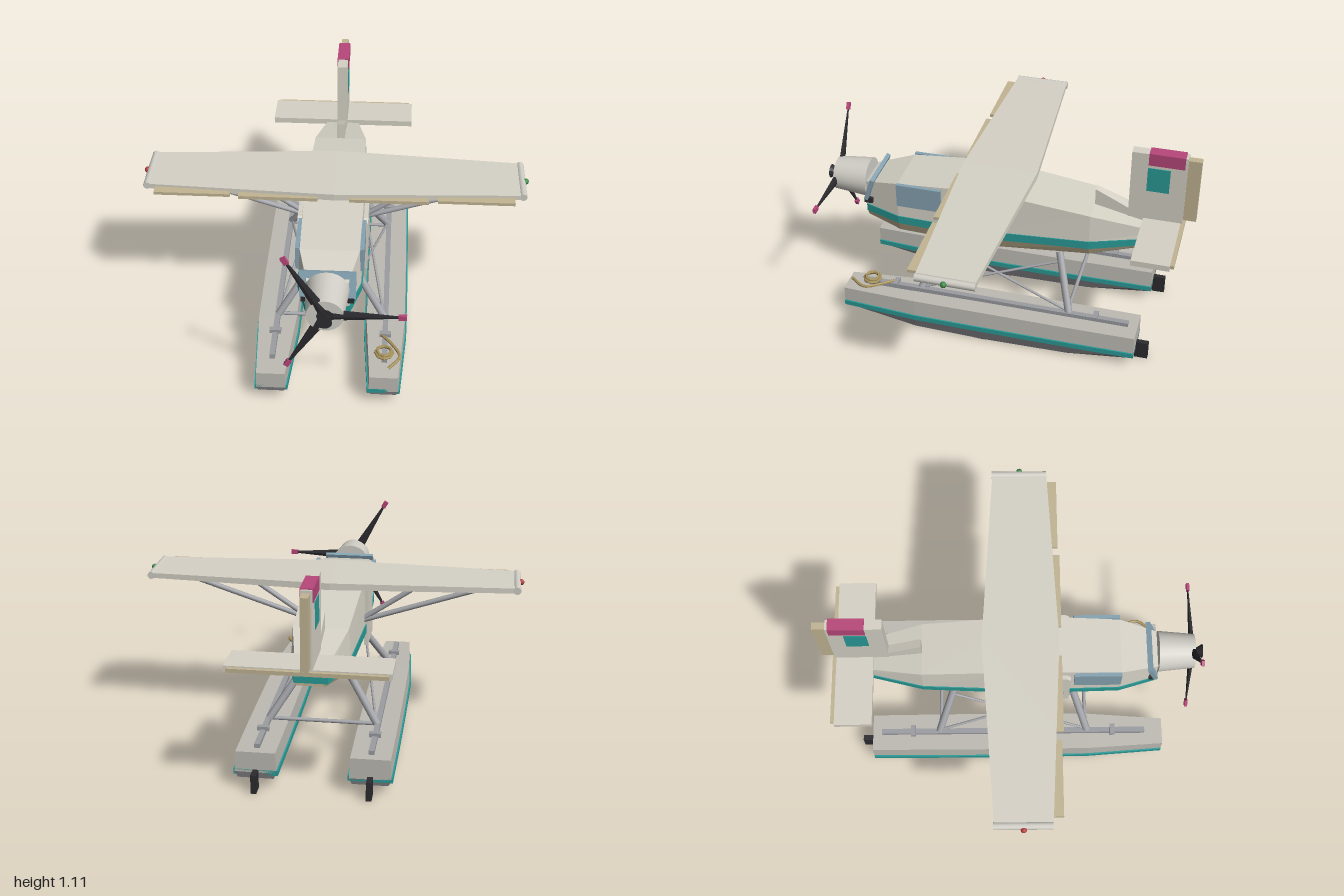
import * as THREE from 'three';

const mat = (color, flat = true) => new THREE.MeshStandardMaterial({ color, flatShading: flat });
const paint = {
  body: mat(0xd6d2c6), tan: mat(0xc2b594), teal: mat(0x2a9c98), glass: mat(0x86a3b2),
  metal: mat(0xa4a5aa, false), rail: mat(0x9c9da2), dark: mat(0x2c2c30), red: mat(0xb8487a),
  navRed: mat(0xb84040, false), navGreen: mat(0x3f8a48, false), rope: mat(0xa8935c), cowl: mat(0xd0cec6, false),
  hull: mat(0xbdbbb3), keel: mat(0x77777a),
};

export function createModel() {
  const root = new THREE.Group();
  const add = (name, geo, material, parent = root) => {
    const m = new THREE.Mesh(geo, material);
    m.name = name;
    parent.add(m);
    return m;
  };
  // Box given by its x, y and z ranges
  const box = (name, x, y, z, material, parent) => {
    const m = add(name, new THREE.BoxGeometry(Math.abs(x[1] - x[0]), y[1] - y[0], z[1] - z[0]), material, parent);
    m.position.set((x[0] + x[1]) / 2, (y[0] + y[1]) / 2, (z[0] + z[1]) / 2);
    return m;
  };
  // Round bar between two points
  const bar = (name, a, b, r, material = paint.metal, parent = root) => {
    const p = new THREE.Vector3(...a), q = new THREE.Vector3(...b), d = q.clone().sub(p);
    const m = add(name, new THREE.CylinderGeometry(r, r, d.length(), 10), material, parent);
    m.position.copy(p).add(q).multiplyScalar(0.5);
    m.quaternion.setFromUnitVectors(new THREE.Vector3(0, 1, 0), d.normalize());
    return m;
  };
  // Skin over symmetric stations, front to back: { z, side: [[halfWidth, y] from bottom to top] }
  const loft = (stations) => {
    const pos = [];
    const rings = stations.map(({ z, side }) => [
      ...side.map(([w, y]) => [w, y, z]),
      ...side.slice().reverse().map(([w, y]) => [-w, y, z])]);
    const tri = (...p) => p.forEach((v) => pos.push(...v));
    const n = rings[0].length, last = rings[rings.length - 1];
    for (let i = 0; i < rings.length - 1; i++) {
      for (let j = 0; j < n; j++) {
        const k = (j + 1) % n, a = rings[i][j], b = rings[i][k], c = rings[i + 1][k], d = rings[i + 1][j];
        tri(a, d, c);
        tri(a, c, b);
      }
    }
    for (let j = 1; j < n - 1; j++) {
      tri(rings[0][0], rings[0][j], rings[0][j + 1]);
      tri(last[0], last[j + 1], last[j]);
    }
    const g = new THREE.BufferGeometry();
    g.setAttribute('position', new THREE.Float32BufferAttribute(pos, 3));
    g.computeVertexNormals();
    return g;
  };

  // Fuselage stations: z, half width, bottom, stripe low, stripe high, top
  const hullLines = [
    [0.76, 0.105, 0.51, 0.545, 0.587, 0.725],
    [0.565, 0.157, 0.47, 0.53, 0.575, 0.775],
    [0.08, 0.166, 0.46, 0.523, 0.572, 0.815],
    [-0.475, 0.15, 0.505, 0.553, 0.597, 0.75],
    [-0.82, 0.078, 0.585, 0.598, 0.635, 0.672],
  ];
  add('fuselageUpper', loft(hullLines.map(([z, w, , , s, t]) => ({ z, side: [[w, s], [w * 0.94, t]] }))), paint.body);
  add('fuselageStripe', loft(hullLines.map(([z, w, , l, h]) => ({ z, side: [[w + 0.005, l], [w + 0.005, h]] }))), paint.teal);
  add('fuselageBelly', loft(hullLines.map(([z, w, b, l]) => ({ z, side: [[w * 0.86, b], [w, l]] }))), paint.tan);

  // Nose: windscreen, engine cowling, propeller
  box('windscreenFrame', [-0.13, 0.13], [0.61, 0.64], [0.72, 0.765], paint.dark);
  const screen = box('windscreen', [-0.138, 0.138], [0.63, 0.765], [0.722, 0.744], paint.glass);
  screen.rotation.x = -0.32;
  const cowl = add('cowling', new THREE.CylinderGeometry(0.09, 0.108, 0.19, 24), paint.cowl);
  cowl.rotation.x = Math.PI / 2;
  cowl.position.set(0, 0.69, 0.86);
  const prop = new THREE.Group();
  prop.name = 'propeller';
  prop.position.set(0, 0.69, 0.945);
  root.add(prop);
  const hub = add('propellerHub', new THREE.CylinderGeometry(0.038, 0.012, 0.04, 12), paint.dark, prop);
  hub.rotation.x = Math.PI / 2;
  hub.position.z = 0.035;
  const boss = add('propellerBoss', new THREE.CylinderGeometry(0.04, 0.04, 0.03, 12), paint.dark, prop);
  boss.rotation.x = Math.PI / 2;
  for (let i = 0; i < 3; i++) {
    const arm = new THREE.Group();
    arm.name = 'propellerArm';
    arm.rotation.z = i * Math.PI * 2 / 3 - Math.PI / 2;
    prop.add(arm);
    const blade = add('propellerBlade', new THREE.CylinderGeometry(0.007, 0.034, 0.34, 6), paint.dark, arm);
    blade.scale.z = 0.5;
    blade.position.y = 0.18;
    box('bladeTip', [-0.013, 0.013], [0.345, 0.385], [-0.008, 0.008], paint.red, arm);
  }

  // Main wing, tapered towards the tips
  const wing = new THREE.BoxGeometry(1.9, 0.036, 0.4, 4, 1, 1);
  const p = wing.attributes.position;
  for (let i = 0; i < p.count; i++) {
    const t = Math.abs(p.getX(i)) / 0.95;
    p.setZ(i, p.getZ(i) * (1 - 0.27 * t) + 0.04 + 0.005 * t);
    p.setY(i, p.getY(i) * (1 - 0.25 * t));
  }
  add('wing', wing, paint.body).position.y = 0.857;

  // Float stations: z, half width, bottom, top
  const floatLines = [
    [0.83, 0.076, 0.065, 0.18], [0.42, 0.105, 0.012, 0.192], [0.05, 0.108, 0.004, 0.195],
    [-0.42, 0.108, 0.012, 0.195], [-0.78, 0.105, 0.055, 0.195],
  ];

  for (const s of [1, -1]) {
    const X = (a, b) => (s > 0 ? [a, b] : [-b, -a]);

    // Cabin window and door
    box('cabinWindow', X(0.15, 0.171), [0.65, 0.782], [0.32, 0.565], paint.glass);
    const door = new THREE.Shape([[-0.3, 0.45], [-0.075, 0.45], [-0.075, 0.765], [-0.28, 0.765], [-0.3, 0.745]]
      .map(([u, v]) => new THREE.Vector2(u, v)));
    const d = add('cabinDoor', new THREE.ExtrudeGeometry(door, { depth: 0.022, bevelEnabled: false }), paint.body);
    d.rotation.y = Math.PI / 2;
    d.position.x = s > 0 ? 0.158 : -0.18;
    box('doorHandle', X(0.18, 0.188), [0.564, 0.576], [0.215, 0.27], paint.metal);

    // Control strips, tip rods, tip lights and wing struts
    box('outerWingStrip', X(0.53, 0.92), [0.842, 0.858], [0.17, 0.243], paint.tan);
    box('innerWingStrip', X(0.08, 0.485), [0.838, 0.856], [0.18, 0.252], paint.tan);
    bar('wingTipRod', [s * 0.963, 0.858, -0.105], [s * 0.963, 0.858, 0.19], 0.02, paint.cowl);
    const lamp = add('wingTipLight', new THREE.SphereGeometry(0.016, 12, 8), s > 0 ? paint.navGreen : paint.navRed);
    lamp.position.set(s * 0.984, 0.858, 0.045);
    bar('longWingStrut', [s * 0.155, 0.605, 0.05], [s * 0.85, 0.835, 0.05], 0.014);
    bar('shortWingStrut', [s * 0.155, 0.615, 0.05], [s * 0.48, 0.835, 0.05], 0.014);

    // Float with stripe, deck rail, cleats and water rudder
    const f = new THREE.Group();
    f.name = 'float';
    f.position.x = s * 0.285;
    root.add(f);
    add('floatTop', loft(floatLines.map(([z, w, , t]) => ({ z, side: [[w, 0.085], [w * 0.95, t]] }))), paint.hull, f);
    add('floatKeel', loft(floatLines.map(([z, w, b]) => ({ z, side: [[w * 0.86, b], [w, 0.085]] }))), paint.keel, f);
    add('floatStripe', loft(floatLines.map(([z, w]) => ({ z, side: [[w + 0.007, 0.072], [w + 0.007, 0.1]] }))), paint.teal, f);
    box('floatStep', [-0.09, 0.09], [0, 0.02], [0.03, 0.065], paint.dark, f);
    box('deckRail', [-0.014, 0.014], [0.19, 0.217], [-0.73, 0.73], paint.rail, f);
    for (const z of [0.55, -0.555]) box('cleat', [-0.03, 0.03], [0.21, 0.232], [z - 0.013, z + 0.013], paint.rail, f);
    box('waterRudder', [-0.014, 0.014], [0, 0.1], [-0.845, -0.775], paint.dark, f);

    // Float struts and crossed bracing wires
    for (const e of [1, -1]) {
      bar('floatStrut', [s * 0.11, 0.47, e * 0.315], [s * 0.28, 0.21, e * 0.408], 0.02);
      bar('braceWire', [s * 0.14, 0.43, e * 0.32], [s * 0.275, 0.215, e * -0.4], 0.007);
    }
  }
  for (const z of [0.4, -0.4]) bar('spreaderBar', [-0.285, 0.208, z], [0.285, 0.208, z], 0.01);

  // Tail surfaces
  box('stabilizer', [-0.397, 0.397], [0.68, 0.712], [-0.925, -0.73], paint.body);
  box('elevator', [-0.382, 0.382], [0.686, 0.706], [-0.945, -0.92], paint.tan);
  box('fin', [-0.027, 0.027], [0.71, 1.103], [-0.933, -0.65], paint.body);
  box('rudder', [-0.019, 0.019], [0.73, 1.09], [-1, -0.93], paint.tan);
  box('finCap', [-0.032, 0.032], [1.04, 1.108], [-0.92, -0.737], paint.red);
  box('finPanel', [-0.031, 0.031], [0.885, 1.022], [-0.85, -0.735], paint.teal);
  const fillet = new THREE.Shape([[0.475, 0.73], [0.74, 0.67], [0.74, 0.73], [0.65, 0.757], [0.475, 0.842]]
    .map(([u, v]) => new THREE.Vector2(u, v)));
  const dorsal = add('dorsalFin', new THREE.ExtrudeGeometry(fillet, { depth: 0.044, bevelEnabled: false }), paint.body);
  dorsal.rotation.y = Math.PI / 2;
  dorsal.position.x = -0.022;

  // Coiled mooring rope on the left float
  for (const [r, y] of [[0.045, 0.222], [0.036, 0.234]]) {
    const coil = add('ropeCoil', new THREE.TorusGeometry(r, 0.008, 6, 8), paint.rope);
    coil.rotation.x = Math.PI / 2;
    coil.position.set(0.283, y, 0.69);
  }
  const tail = new THREE.CatmullRomCurve3([[0.27, 0.222, 0.56], [0.325, 0.222, 0.63], [0.362, 0.218, 0.71], [0.305, 0.215, 0.8]]
    .map((v) => new THREE.Vector3(...v)));
  add('ropeEnd', new THREE.TubeGeometry(tail, 12, 0.008, 6), paint.rope);

  return root;
}
